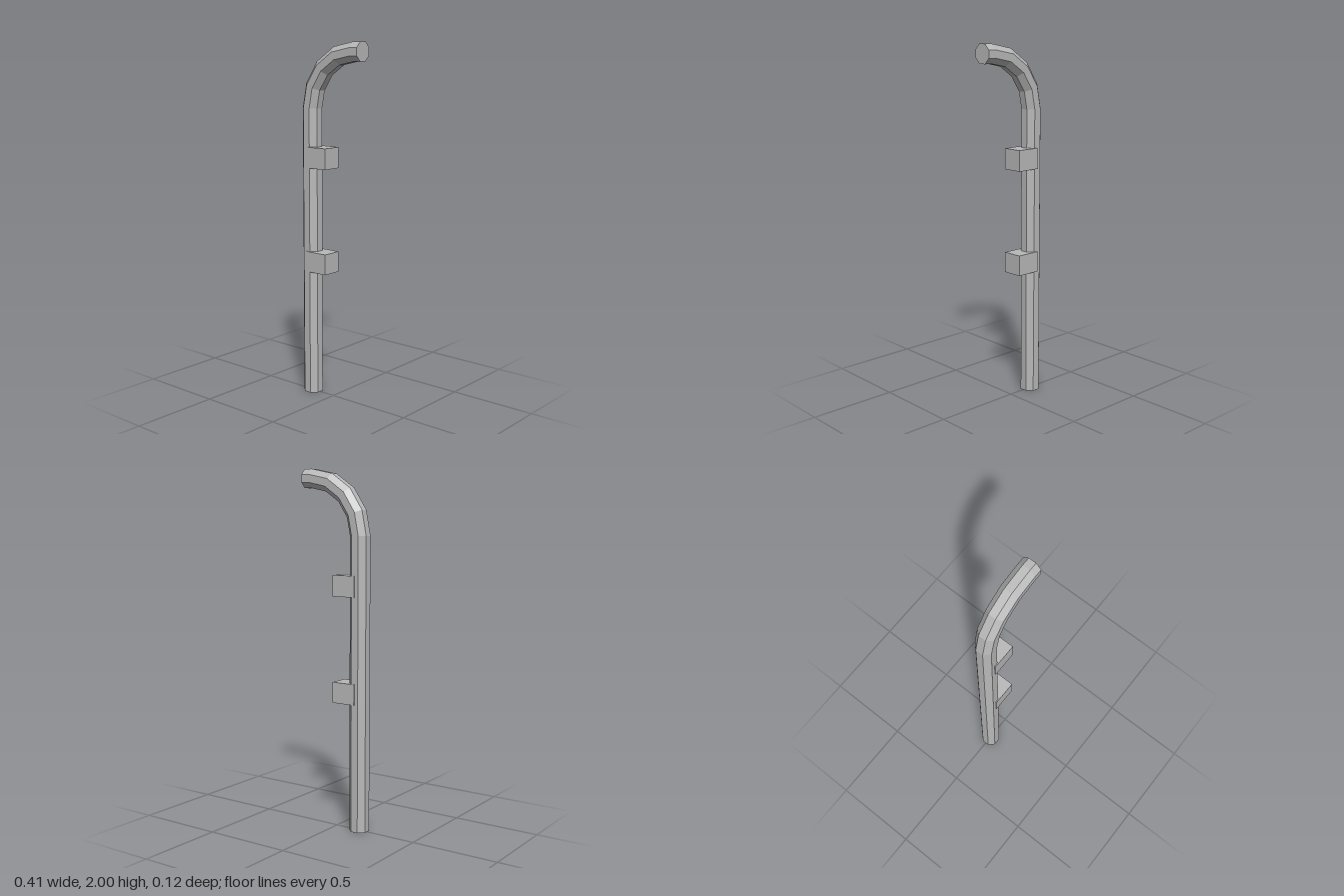
import * as THREE from 'three';

const R = 0.052;          // half width across the flats
const F = 0.0215;         // half length of one flat
const POLE_X = -0.151;    // centre line of the upright
const BEND_Y = 1.64;      // height where the bend starts
const BEND_R = 0.308;     // centre line radius of the bend

// Octagonal section as [outward, z], counter-clockwise
const SECTION = [[R, -F], [R, F], [F, R], [-F, R], [-R, F], [-R, -F], [-F, -R], [F, -R]];

function pipeGeometry() {
  // Stations along the centre line: x, y, bend angle
  const stations = [[POLE_X, 0, 0]];
  for (let i = 0; i <= 4; i++) {
    const a = (i / 4) * Math.PI / 2;
    stations.push([POLE_X + BEND_R * (1 - Math.cos(a)), BEND_Y + BEND_R * Math.sin(a), a]);
  }
  stations.push([0.203, BEND_Y + BEND_R, Math.PI / 2]);

  const rings = stations.map(([x, y, a]) => SECTION.map(([o, z]) =>
    [x - Math.cos(a) * o, y + Math.sin(a) * o, z]));
  const pos = [];
  const tri = (a, b, c) => pos.push(...a, ...b, ...c);
  const n = SECTION.length;
  for (let s = 0; s < rings.length - 1; s++) {
    for (let i = 0; i < n; i++) {
      const j = (i + 1) % n;
      const [a, b, c, d] = [rings[s][i], rings[s][j], rings[s + 1][j], rings[s + 1][i]];
      tri(a, b, c);
      tri(a, c, d);
    }
  }
  // End caps
  const last = rings[rings.length - 1];
  for (let i = 1; i < n - 1; i++) {
    tri(rings[0][0], rings[0][i + 1], rings[0][i]);
    tri(last[0], last[i], last[i + 1]);
  }
  const geo = new THREE.BufferGeometry();
  geo.setAttribute('position', new THREE.Float32BufferAttribute(pos, 3));
  geo.computeVertexNormals();
  return geo;
}

export function createModel() {
  const group = new THREE.Group();
  group.name = 'bentPipe';
  const grey = new THREE.MeshStandardMaterial({ color: 0xb8b8b8 });
  grey.name = 'grey metal';

  // Upright pipe with a quarter bend at the top
  const pipe = new THREE.Mesh(pipeGeometry(), grey);
  pipe.name = 'pipe';
  group.add(pipe);

  // Two wall brackets
  for (const [name, y] of [['lowerBracket', 0.78], ['upperBracket', 1.37]]) {
    const bracket = new THREE.Mesh(new THREE.BoxGeometry(0.141, 0.116, 0.116), grey);
    bracket.name = name;
    bracket.position.set(-0.0805, y, 0);
    group.add(bracket);
  }
  return group;
}
